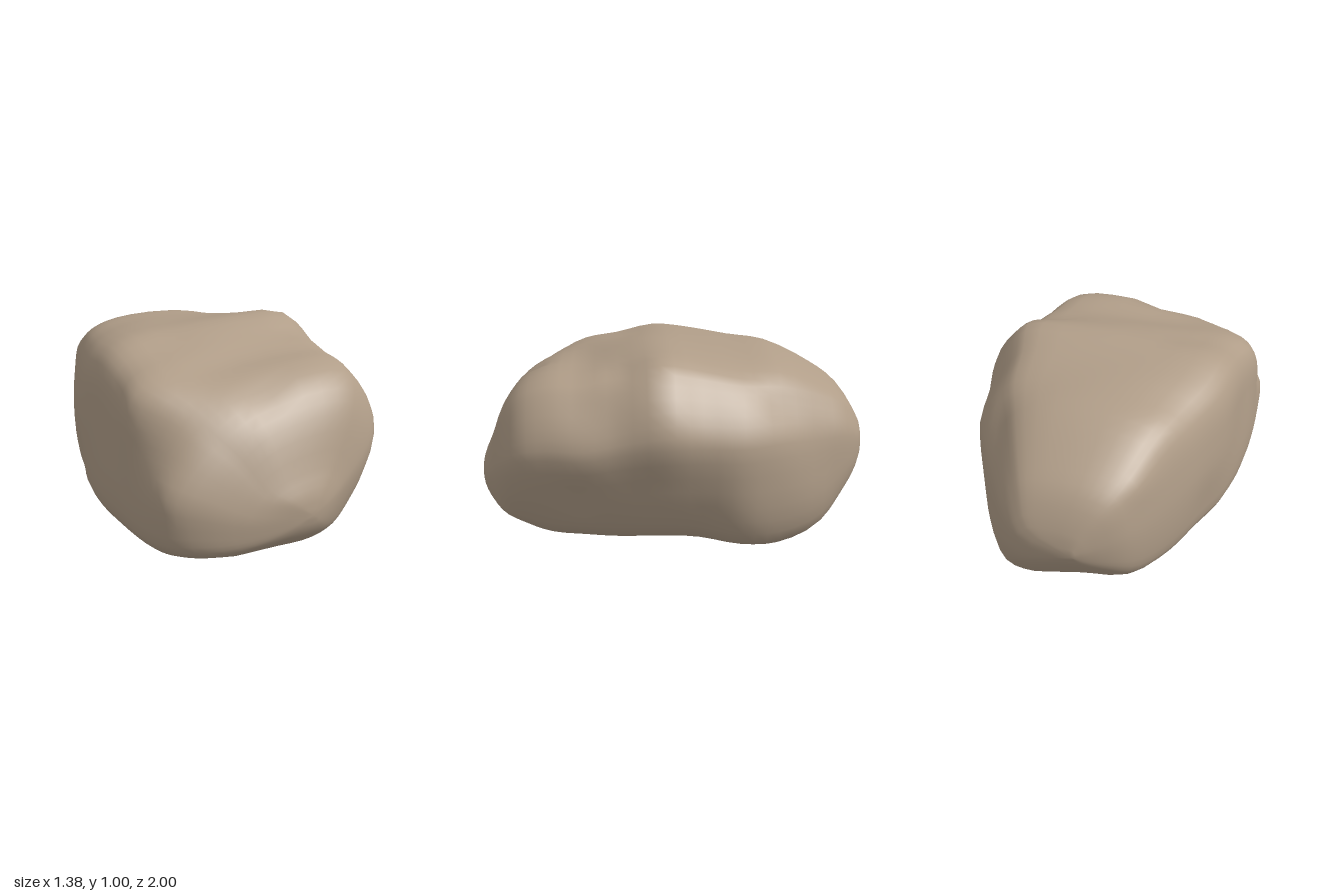
import * as THREE from 'three';
import { mergeVertices } from 'three/addons/utils/BufferGeometryUtils.js';

// Boulder cross-section, normalised, counter-clockwise from the right side
const profile = [[1, .25], [.96, .52], [.83, .8], [.68, .98], [.3, 1], [-.3, .97], [-.69, .93], [-.87, .81],
  [-.95, .6], [-.98, .3], [-1, -.05], [-1, -.45], [-.96, -.73], [-.8, -.88], [-.25, -.95], [.15, -1], [.45, -.95],
  [.66, -.82], [.79, -.52], [.9, -.15]];

// Back to front: z, x min, x max, y min, y max, roundness, upper left cut, lower right cut, upper right cut
const sections = [
  [-1, -.08, -.08, .46, .46, 1, 0, 0, 0],
  [-.97, -.15, .19, .37, .58, .5, 0, -.25, 0],
  [-.88, -.28, .3, .25, .73, .3, 0, -.4, .08],
  [-.75, -.37, .4, .12, .83, .25, 0, -.42, .13],
  [-.52, -.48, .55, .03, .945, .2, 0, -.3, .15],
  [-.32, -.56, .65, .02, .965, .12, 0, -.17, .13],
  [-.12, -.63, .665, .02, .985, .05, 0, -.06, .07],
  [.08, -.66, .685, .01, 1, 0, 0, 0, 0],
  [.28, -.68, .66, .01, .95, 0, 0, 0, .02],
  [.45, -.69, .64, .02, .89, 0, -.04, 0, 0],
  [.62, -.685, .6, .02, .885, .05, .14, 0, 0],
  [.76, -.66, .55, .05, .83, .08, .3, 0, .02],
  [.86, -.54, .44, .08, .7, .12, .34, 0, .05],
  [.94, -.34, .22, .14, .48, .25, .25, 0, 0],
  [.985, -.15, .08, .21, .37, .4, 0, 0, 0],
  [1, -.02, -.02, .28, .28, 1, 0, 0, 0],
];

// Hollows and bulges: centre, radius, depth (negative pushes outward)
const dents = [
  [-.12, .82, .72, .13, .03], [.4, .94, .25, .12, .03], [-.3, .95, .2, .15, .012], [.62, .3, .5, .12, .03],
  [.5, .78, -.55, .1, .02], [-.38, .75, -.78, .1, -.02], [.3, .12, .85, .2, .02],
  [-.6, .3, -.3, .18, .015], [-.1, .05, -.6, .2, .015],
];

const AROUND = 48, ALONG = 45;

function sectionPoints([z, x0, x1, y0, y1, round, upperLeft, lowerRight, upperRight]) {
  const points = profile.map(([u, v]) => {
    const cut = u < 0 ? (v > 0 ? upperLeft : 0) : (v > 0 ? upperRight : lowerRight);
    const k = (1 + round * (1 / Math.hypot(u, v) - 1)) * (1 - cut * Math.abs(u * v) * 1.3);
    return new THREE.Vector3((x0 + x1) / 2 + u * k * (x1 - x0) / 2, (y0 + y1) / 2 + v * k * (y1 - y0) / 2, z);
  });
  const curve = new THREE.CatmullRomCurve3(points, true);
  return Array.from({ length: AROUND }, (_, j) => curve.getPoint(j / AROUND));
}

// Push the surface in or out from the core of the stone
function weather(p) {
  const out = new THREE.Vector3(p.x, (p.y - .5) * 1.4, p.z * .5).normalize();
  let push = .005 * Math.sin(9 * p.x + 5 * p.z + 1) * Math.cos(8 * p.y - 7 * p.z);
  for (const [x, y, z, r, depth] of dents) {
    const d2 = (p.x - x) ** 2 + (p.y - y) ** 2 + (p.z - z) ** 2;
    push -= depth * Math.exp(-1.5 * d2 / (r * r));
  }
  return p.addScaledVector(out, push);
}

function boulderGeometry() {
  const rings = sections.map(sectionPoints);
  const rails = rings[0].map((_, j) => new THREE.CatmullRomCurve3(rings.map((ring) => ring[j])));
  const position = [], index = [];
  for (let i = 0; i <= ALONG; i++) {
    for (const rail of rails) {
      const p = weather(rail.getPoint(i / ALONG));
      position.push(p.x, Math.max(p.y, 0), THREE.MathUtils.clamp(p.z, -1, 1));
    }
  }
  // The first and last rings are single points, so they take one triangle per side
  for (let i = 0; i < ALONG; i++) {
    for (let j = 0; j < AROUND; j++) {
      const a = i * AROUND + j, b = i * AROUND + (j + 1) % AROUND;
      if (i > 0) index.push(a, b, b + AROUND);
      if (i < ALONG - 1) index.push(a, b + AROUND, a + AROUND);
    }
  }
  const shell = new THREE.BufferGeometry();
  shell.setAttribute('position', new THREE.Float32BufferAttribute(position, 3));
  shell.setIndex(index);
  const geometry = mergeVertices(shell, 1e-4);
  geometry.computeVertexNormals();
  return geometry;
}

export function createModel() {
  const group = new THREE.Group();
  group.name = 'rock';
  const stone = new THREE.MeshStandardMaterial({ color: 0xb09d88 });
  stone.name = 'warm grey stone';
  const boulder = new THREE.Mesh(boulderGeometry(), stone);
  boulder.name = 'boulder';
  group.add(boulder);
  return group;
}
